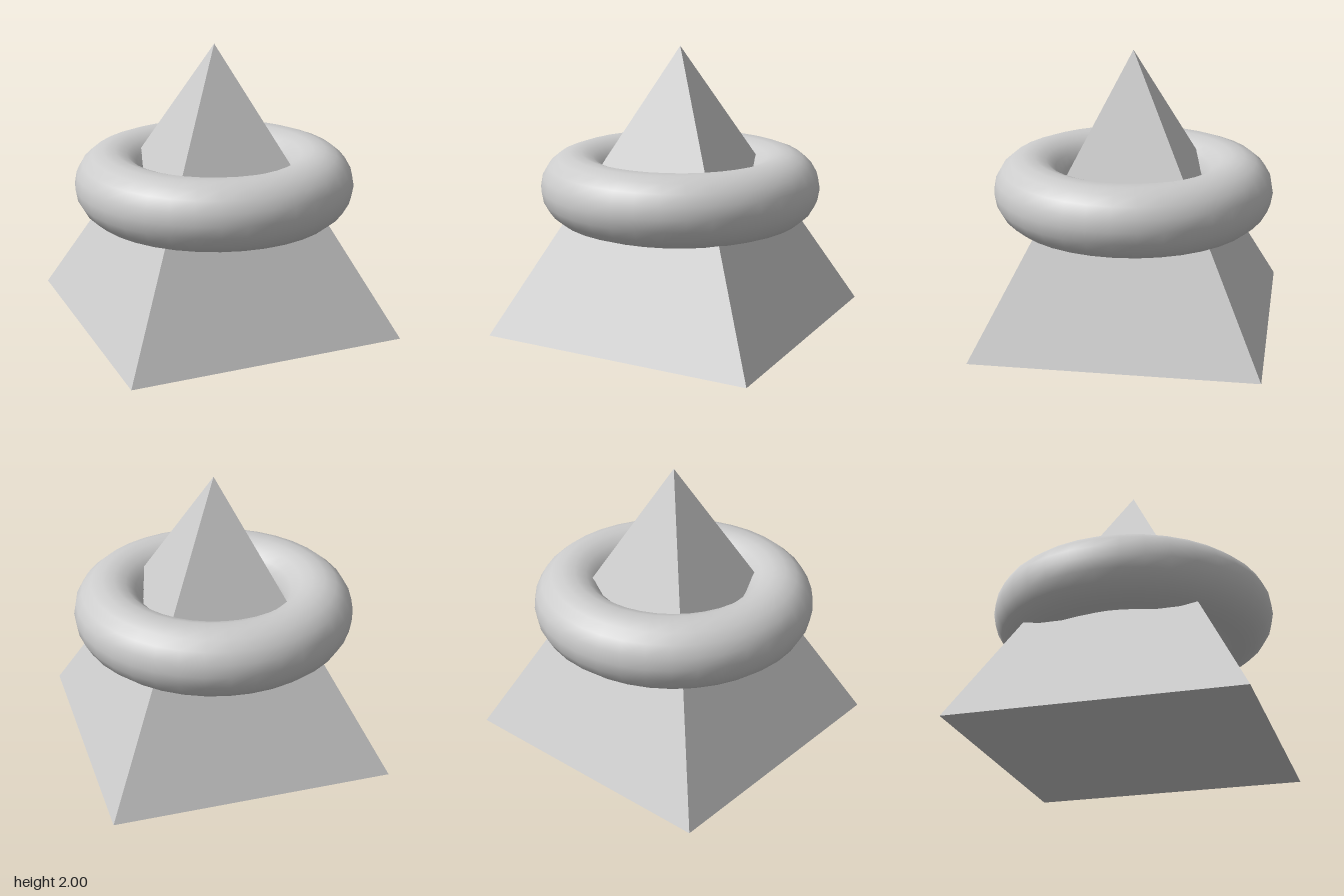
import * as THREE from 'three';

export function createModel() {
  const group = new THREE.Group();

  // Square pyramid, base 2 x 2, apex at y = 2
  const pyramidGeometry = new THREE.ConeGeometry(Math.SQRT2, 2, 4, 1);
  pyramidGeometry.rotateY(Math.PI / 4);
  const pyramid = new THREE.Mesh(
    pyramidGeometry,
    new THREE.MeshStandardMaterial({ color: 0xcccccc, flatShading: true })
  );
  pyramid.name = 'pyramid';
  pyramid.position.y = 1;
  group.add(pyramid);

  // Smooth ring lying flat around the pyramid at mid height
  const ringGeometry = new THREE.TorusGeometry(0.75, 0.25, 18, 36);
  ringGeometry.rotateX(Math.PI / 2);
  const ring = new THREE.Mesh(
    ringGeometry,
    new THREE.MeshStandardMaterial({ color: 0xcccccc })
  );
  ring.name = 'ring';
  ring.position.y = 1;
  group.add(ring);

  return group;
}
